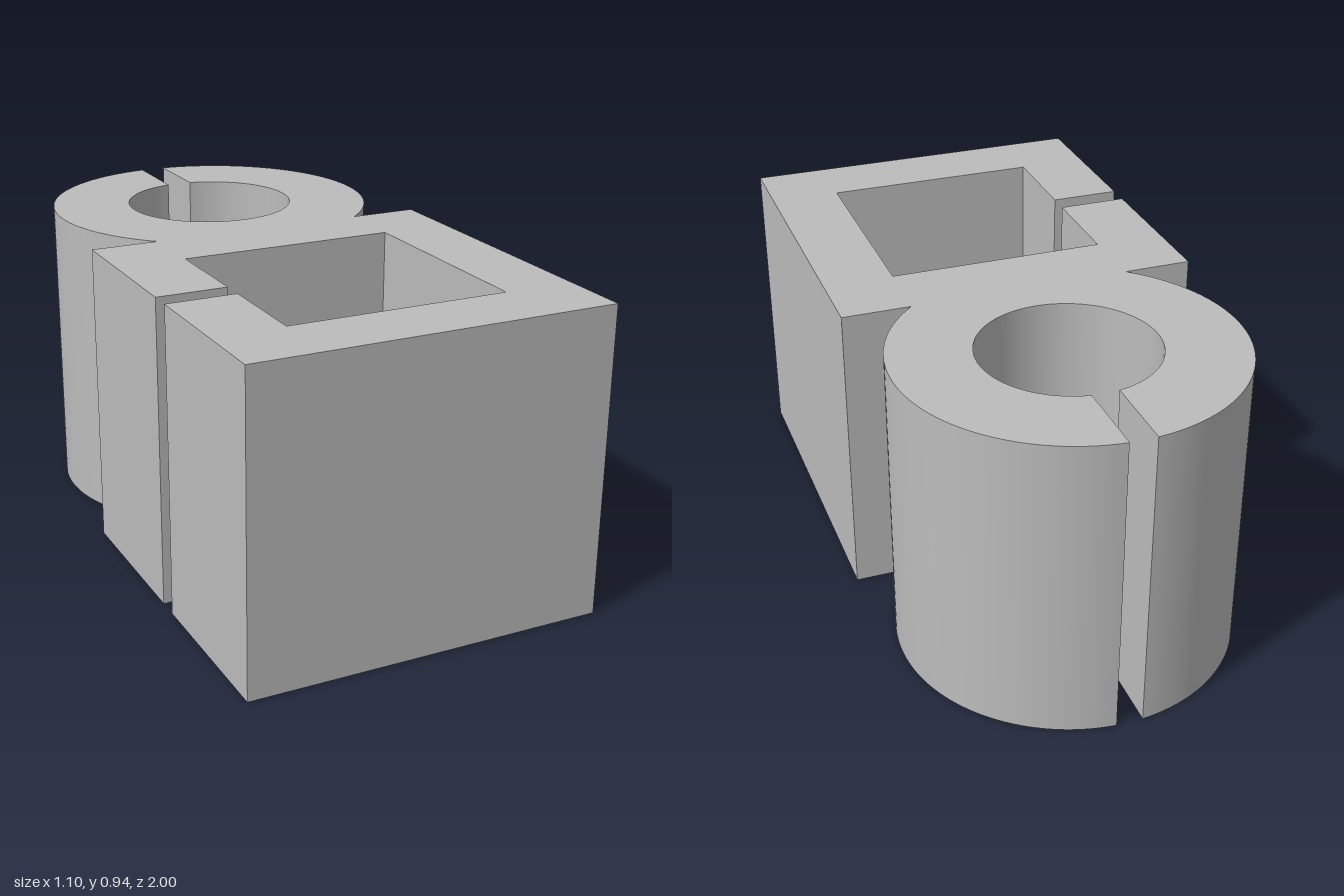
import * as THREE from 'three';
import { toCreasedNormals } from 'three/addons/utils/BufferGeometryUtils.js';

const HEIGHT = 0.94;
const RING = { y: 0.487, outer: 0.515, inner: 0.267, slot: 0.04 };
const BOX = { x: 0.55, front: -1, back: 0.1 };
const HOLE = { x: 0.335, front: -0.785, back: -0.11 };
const SLOT = { front: -0.48, back: -0.415 };

// Plan outline (shape y points to the back): split ring joined to a split square tube
function clipOutline() {
  const s = new THREE.Shape();
  const join = Math.asin((BOX.back - RING.y) / RING.outer);
  const outerGap = Math.acos(RING.slot / RING.outer);
  const innerGap = Math.acos(RING.slot / RING.inner);

  // outside of the square, from the side slot round to the ring
  s.moveTo(-BOX.x, SLOT.front);
  s.lineTo(-BOX.x, BOX.front);
  s.lineTo(BOX.x, BOX.front);
  s.lineTo(BOX.x, BOX.back);

  // ring: outer wall, in through the back slot, round the bore and out again
  s.absarc(0, RING.y, RING.outer, join, outerGap, false);
  s.absarc(0, RING.y, RING.inner, innerGap, Math.PI - innerGap, true);
  s.absarc(0, RING.y, RING.outer, Math.PI - outerGap, Math.PI - join, false);

  // back corner, in through the side slot and round the square hole
  s.lineTo(-BOX.x, BOX.back);
  s.lineTo(-BOX.x, SLOT.back);
  s.lineTo(-HOLE.x, SLOT.back);
  s.lineTo(-HOLE.x, HOLE.back);
  s.lineTo(HOLE.x, HOLE.back);
  s.lineTo(HOLE.x, HOLE.front);
  s.lineTo(-HOLE.x, HOLE.front);
  s.lineTo(-HOLE.x, SLOT.front);
  s.closePath();
  return s;
}

export function createModel() {
  const grey = new THREE.MeshStandardMaterial({ color: 0xbcbcbc });
  grey.name = 'grey';

  const extruded = new THREE.ExtrudeGeometry(clipOutline(), {
    depth: HEIGHT, bevelEnabled: false, curveSegments: 32,
  });
  extruded.rotateX(-Math.PI / 2);

  const body = new THREE.Mesh(toCreasedNormals(extruded, 0.5), grey);
  body.name = 'clipBody';

  const model = new THREE.Group();
  model.name = 'doubleClip';
  model.add(body);
  return model;
}
